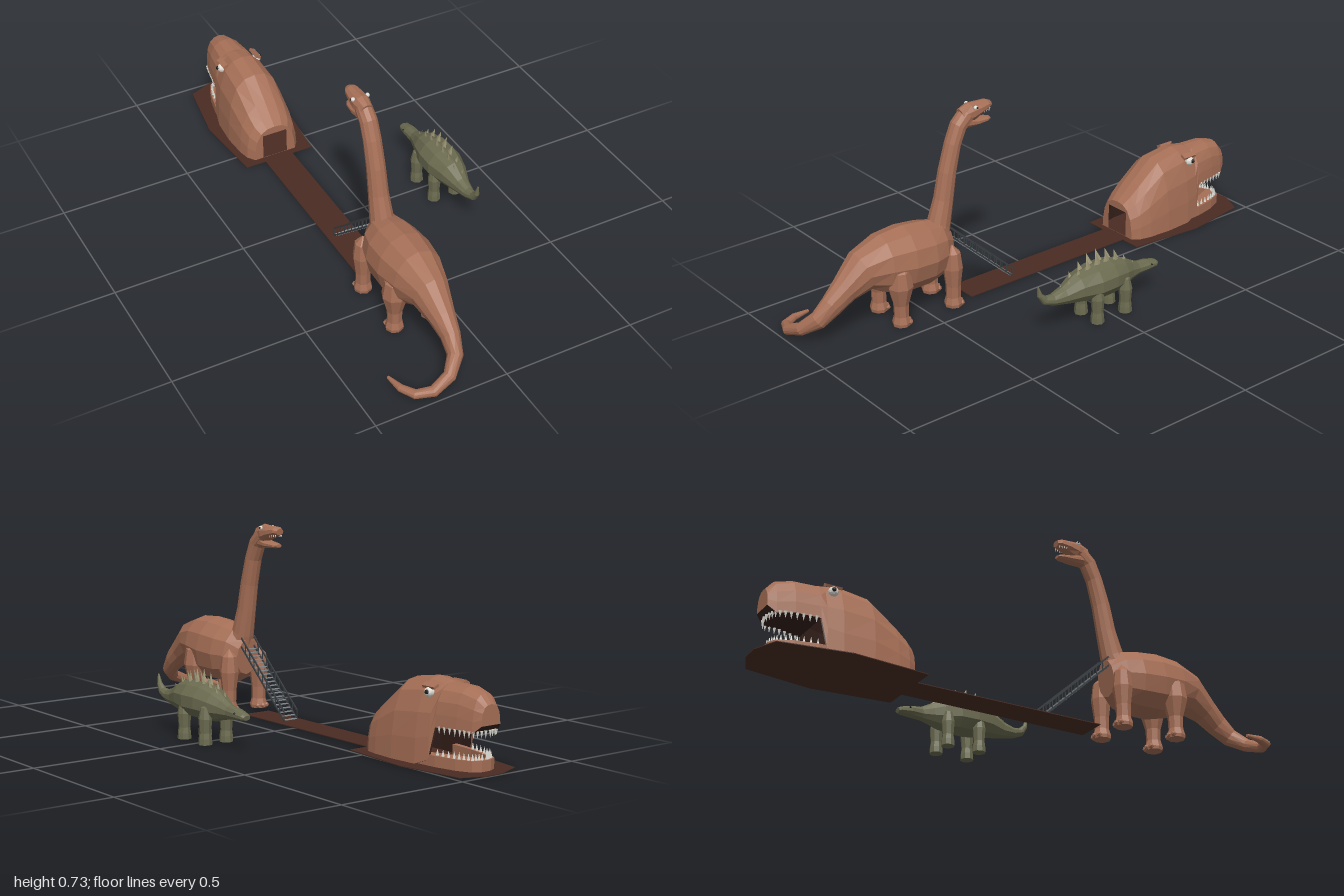
import * as THREE from 'three';

const mat = (name, color, side = THREE.FrontSide) => {
  const m = new THREE.MeshStandardMaterial({ color, side });
  m.name = name;
  return m;
};
const clay = mat('clay brown', 0xa66f56, THREE.DoubleSide);
const earth = mat('dark earth', 0x4a2c23, THREE.DoubleSide);
const mouthDark = mat('mouth dark', 0x36211c, THREE.DoubleSide);
const olive = mat('olive hide', 0x6b6b50);
const sand = mat('sand plates', 0xa8a07e);
const ivory = mat('ivory', 0xdedcd4);
const black = mat('black', 0x1c1c1c);
const steel = mat('dark steel', 0x3c4043);
const grey = mat('tread grey', 0x838b90);

// Faceted mesh with one normal per face
function add(parent, name, geo, material, pos = [0, 0, 0]) {
  const g = geo.index ? geo.toNonIndexed() : geo;
  g.computeVertexNormals();
  const m = new THREE.Mesh(g, material);
  m.name = name;
  m.position.set(...pos);
  parent.add(m);
  return m;
}
function fromFaces(points, index) {
  const g = new THREE.BufferGeometry();
  g.setAttribute('position', new THREE.Float32BufferAttribute(points.flat(), 3));
  g.setIndex(index);
  return g;
}

// Closed body through rings [x, y, z, half width, half height], running towards -z
function loft(rings, n = 12) {
  const c = rings.map(r => new THREE.Vector3(r[0], r[1], r[2]));
  const pts = [], idx = [], up = new THREE.Vector3(0, 1, 0);
  rings.forEach((r, i) => {
    const t = c[Math.min(i + 1, c.length - 1)].clone().sub(c[Math.max(i - 1, 0)]).normalize();
    const s = t.clone().cross(up).normalize(), u = s.clone().cross(t);
    for (let j = 0; j < n; j++) {
      const a = j / n * Math.PI * 2 + Math.PI / 2;
      pts.push(c[i].clone().addScaledVector(s, r[3] * Math.cos(a)).addScaledVector(u, r[4] * Math.sin(a)).toArray());
    }
  });
  const last = (rings.length - 1) * n, p = pts.length;
  for (let j = 0; j < n; j++) {
    const k = (j + 1) % n;
    for (let o = 0; o < last; o += n) idx.push(o + j, o + n + j, o + n + k, o + j, o + n + k, o + k);
    idx.push(p, j, k, p + 1, last + k, last + j);
  }
  pts.push(c[0].toArray(), c[c.length - 1].toArray());
  return fromFaces(pts, idx);
}

// Open arches [z, half width, base y, top y]
const ARCH = [[1, 0], [0.97, 0.3], [0.88, 0.6], [0.66, 0.85], [0.36, 0.97], [0, 1]];
function arches(list, shrink = 0) {
  const half = ARCH.slice(0, -1).map(([x, y]) => [-x, y]).reverse();
  const prof = [...ARCH, ...half], n = prof.length, pts = [], idx = [];
  list.forEach(([z, w, y0, y1], i) => {
    prof.forEach(([x, y]) => pts.push([x * (w - shrink), y0 + y * (y1 - y0 - shrink), z]));
    if (i) for (let j = 0; j < n - 1; j++) {
      const a = (i - 1) * n + j, b = i * n + j;
      idx.push(a, b, b + 1, a, b + 1, a + 1);
    }
  });
  return fromFaces(pts, idx);
}
const lathe = (profile, n) => new THREE.LatheGeometry(profile.map(p => new THREE.Vector2(...p)), n);
const shapeOf = pts => new THREE.Shape(pts.map(p => new THREE.Vector2(...p)));
const flatExtrude = (shape, depth) =>
  new THREE.ExtrudeGeometry(shape, { depth, bevelEnabled: false }).rotateX(-Math.PI / 2);
const cone = (r, h, n) => new THREE.ConeGeometry(r, h, n);

function longNeck() {
  const g = new THREE.Group();
  g.name = 'longNeckedDinosaur';
  g.position.x = -0.152;
  add(g, 'bodyAndTail', loft([
    [-0.211, 0.016, 0.835, 0.006, 0.006], [-0.2, 0.018, 0.9, 0.014, 0.013], [-0.172, 0.02, 0.95, 0.018, 0.016],
    [-0.118, 0.03, 0.975, 0.02, 0.02], [-0.05, 0.057, 0.962, 0.023, 0.024], [-0.005, 0.095, 0.92, 0.028, 0.034],
    [0.005, 0.138, 0.87, 0.034, 0.044], [0.003, 0.18, 0.815, 0.046, 0.053], [0, 0.23, 0.74, 0.068, 0.08],
    [0, 0.234, 0.66, 0.095, 0.11], [0, 0.226, 0.57, 0.108, 0.125], [0, 0.221, 0.48, 0.104, 0.12],
    [0, 0.22, 0.42, 0.085, 0.108], [0, 0.215, 0.375, 0.05, 0.07]]), clay);
  add(g, 'neck', loft([
    [0, 0.23, 0.45, 0.065, 0.075], [0, 0.31, 0.403, 0.042, 0.045], [0, 0.4, 0.38, 0.036, 0.037],
    [0, 0.5, 0.361, 0.034, 0.034], [0, 0.6, 0.334, 0.033, 0.03], [0, 0.66, 0.308, 0.032, 0.032],
    [0, 0.695, 0.27, 0.03, 0.034]]), clay);
  add(g, 'upperHead', loft([
    [0, 0.69, 0.295, 0.024, 0.032], [0, 0.7, 0.255, 0.033, 0.036], [0, 0.707, 0.22, 0.031, 0.025],
    [0, 0.712, 0.185, 0.025, 0.018], [0, 0.71, 0.17, 0.017, 0.012]], 10), clay);
  add(g, 'lowerJaw', loft([
    [0, 0.668, 0.285, 0.026, 0.025], [0, 0.66, 0.235, 0.027, 0.015], [0, 0.658, 0.19, 0.022, 0.01],
    [0, 0.658, 0.174, 0.013, 0.006]], 10), clay);
  for (const s of [1, -1]) {
    add(g, 'eye', new THREE.IcosahedronGeometry(0.008, 1), ivory, [s * 0.028, 0.721, 0.25]);
    add(g, 'pupil', new THREE.IcosahedronGeometry(0.004, 1), black, [s * 0.034, 0.722, 0.248]);
    for (let i = 0; i < 4; i++)
      add(g, 'tooth', cone(0.003, 0.011, 4).rotateX(Math.PI), ivory, [s * (0.02 - i * 0.002), 0.693, 0.205 - i * 0.009]);
    for (const [z, thigh] of [[0.625, 0.047], [0.398, 0.037]]) {
      add(g, 'leg', lathe([[0, 0.008], [0.032, 0.008], [0.034, 0.02], [0.027, 0.045], [0.028, 0.09],
        [thigh, 0.16], [thigh * 0.8, 0.22], [0, 0.25]], 8), clay, [s * 0.07, 0, z]);
      for (const d of [-1, 0, 1])
        add(g, 'toe', new THREE.IcosahedronGeometry(0.011, 0), clay, [s * 0.07 + d * 0.019, 0.018, z - 0.031 + Math.abs(d) * 0.007]);
    }
  }
  return g;
}

function stairs() {
  const g = new THREE.Group(), N = 20;
  g.name = 'stairs';
  g.position.x = -0.15;
  const dy = 0.245, dz = 0.27, len = Math.hypot(dy, dz);
  const bar = (name, x, y) => {
    const m = add(g, name, new THREE.BoxGeometry(0.004, 0.006, len), steel, [x, y + dy / 2, 0.1 + dz / 2]);
    m.rotation.x = -Math.atan2(dy, dz);
  };
  for (const s of [1, -1]) {
    bar('stringer', s * 0.03, 0.012);
    bar('handrail', s * 0.03, 0.046);
    for (let i = 0; i < N; i += 2)
      add(g, 'post', new THREE.BoxGeometry(0.003, 0.036, 0.003), steel, [s * 0.03, 0.03 + dy * i / N, 0.1 + dz * i / N]);
  }
  for (let i = 0; i < N; i++)
    add(g, 'tread', new THREE.BoxGeometry(0.056, 0.003, 0.011), grey, [0, 0.014 + dy * i / N, 0.102 + dz * i / N]);
  return g;
}

function headHouse() {
  const g = new THREE.Group();
  g.name = 'headHouse';
  g.position.x = -0.152;
  const skin = [[-0.445, 0.085, 0.008, 0.14], [-0.475, 0.106, 0.008, 0.165], [-0.52, 0.115, 0.008, 0.205],
    [-0.61, 0.12, 0.008, 0.28], [-0.72, 0.112, 0.008, 0.298], [-0.775, 0.1, 0.03, 0.29],
    [-0.795, 0.088, 0.14, 0.285], [-0.88, 0.073, 0.145, 0.284], [-0.94, 0.058, 0.138, 0.268], [-0.968, 0.042, 0.165, 0.235]];
  add(g, 'headShell', arches(skin), clay);
  add(g, 'innerLining', arches(skin.slice(0, -1), 0.008), mouthDark);
  // Nose cap and mouth roof
  const [, w, y0, y1] = skin[skin.length - 1];
  const arch = (hw, a, b) => [...ARCH, ...ARCH.slice(0, -1).map(([x, y]) => [-x, y]).reverse()]
    .map(([x, y]) => [x * hw, a + y * (b - a)]);
  add(g, 'noseCap', new THREE.ShapeGeometry(shapeOf(arch(w, y0, y1))).rotateY(Math.PI), clay, [0, 0, -0.968]);
  const roof = skin.slice(-4).map(([z, hw, b]) => [[hw, b, z], [-hw, b, z]]).flat();
  add(g, 'mouthRoof', fromFaces(roof, [0, 1, 3, 0, 3, 2, 2, 3, 5, 2, 5, 4, 4, 5, 7, 4, 7, 6]), mouthDark);
  // Rear wall with doorway
  const wall = shapeOf(arch(0.085, 0.008, 0.14));
  wall.holes.push(new THREE.Path([[-0.05, 0.009], [-0.05, 0.11], [0.05, 0.11], [0.05, 0.009]].map(p => new THREE.Vector2(...p))));
  add(g, 'doorWall', new THREE.ShapeGeometry(wall), clay, [0, 0, -0.445]);
  // Lower jaw
  const outer = [[0.1, 0.7], [0.092, 0.8], [0.075, 0.88], [0.05, 0.935], [0.02, 0.95]];
  const inner = [[0.01, 0.93], [0.038, 0.915], [0.058, 0.87], [0.072, 0.8], [0.08, 0.7]];
  const flip = a => a.map(([x, y]) => [-x, y]).reverse();
  add(g, 'lowerJaw', flatExtrude(shapeOf([...outer, ...flip(outer), ...flip(inner), ...inner.slice().reverse()]), 0.038), clay, [0, 0.008, 0]);
  // Teeth along both jaws
  const path = list => new THREE.CatmullRomCurve3(list.map(([x, z]) => new THREE.Vector3(x, 0, -z)));
  const low = path([[0.08, 0.8], [0.066, 0.875], [0.044, 0.925], [0.01, 0.94]]);
  const high = path([[0.083, 0.81], [0.07, 0.88], [0.055, 0.938], [0.01, 0.955]]);
  for (const s of [1, -1]) {
    for (let i = 0; i < 11; i++) {
      const a = low.getPoint(i / 10), b = high.getPoint(i / 10);
      add(g, 'lowerTooth', cone(0.006, 0.026, 5), ivory, [s * a.x, 0.057, a.z]);
      add(g, 'upperTooth', cone(0.006, 0.026, 5).rotateX(Math.PI), ivory, [s * b.x, 0.133, b.z]);
    }
    add(g, 'eye', new THREE.SphereGeometry(0.018, 10, 8), ivory, [s * 0.074, 0.252, -0.75]);
    add(g, 'pupil', new THREE.SphereGeometry(0.008, 8, 6), black, [s * 0.089, 0.254, -0.754]);
    const brow = add(g, 'brow', new THREE.BoxGeometry(0.022, 0.01, 0.06), clay, [s * 0.07, 0.273, -0.75]);
    brow.rotation.z = -s * 0.5;
  }
  return g;
}

function platedDinosaur() {
  const g = new THREE.Group();
  g.name = 'platedDinosaur';
  g.position.x = 0.297;
  add(g, 'body', loft([
    [0, 0.205, 0.312, 0.003, 0.003], [0, 0.17, 0.305, 0.01, 0.01], [0, 0.145, 0.285, 0.016, 0.016],
    [0, 0.135, 0.25, 0.022, 0.021], [0, 0.136, 0.2, 0.032, 0.034], [0, 0.148, 0.14, 0.053, 0.056],
    [0, 0.149, 0.07, 0.07, 0.067], [0, 0.149, 0, 0.068, 0.067], [0, 0.142, -0.06, 0.053, 0.058],
    [0, 0.137, -0.1, 0.036, 0.041], [0, 0.132, -0.14, 0.025, 0.026], [0, 0.131, -0.185, 0.026, 0.021],
    [0, 0.127, -0.225, 0.021, 0.014], [0, 0.125, -0.235, 0.015, 0.009]], 10), olive);
  for (const s of [1, -1]) {
    for (const z of [0.08, -0.05])
      add(g, 'leg', lathe([[0, 0.008], [0.025, 0.008], [0.024, 0.03], [0.021, 0.05], [0.025, 0.1], [0.016, 0.14], [0, 0.15]], 8),
        olive, [s * 0.045, 0, z]);
    add(g, 'eye', new THREE.IcosahedronGeometry(0.004, 0), black, [s * 0.024, 0.138, -0.195]);
  }
  // Two staggered rows of back plates
  for (let i = 0; i < 16; i++) {
    const s = i % 2 ? 1 : -1, z = 0.2 - i * 0.021, k = ((z - 0.04) / 0.17) ** 2;
    const h = 0.024 + 0.034 * Math.max(0, 1 - k);
    const top = Math.max(0.152, 0.213 - 2.4 * (z - 0.04) ** 2);
    const p = add(g, 'backPlate', cone(h * 0.3, h, 4).scale(0.3, 1, 1).translate(0, h / 2 - 0.008, 0), sand, [s * 0.009, top, z]);
    p.rotation.z = -s * 0.12;
    p.rotation.x = 0.2;
  }
  return g;
}

export function createModel() {
  const model = new THREE.Group();
  model.name = 'dinosaurPark';
  // Ground plate and path
  const side = [[0.165, 0.71], [0.125, 0.96], [0.035, 0.998]];
  const plate = shapeOf([[0.138, 0.42], ...side, ...side.map(([x, y]) => [-x, y]).reverse(), [-0.138, 0.42]]);
  add(model, 'groundPlate', flatExtrude(plate, 0.003), earth, [-0.147, 0.005, 0]);
  add(model, 'path', new THREE.BoxGeometry(0.115, 0.003, 0.73), earth, [-0.148, 0.0065, -0.055]);
  model.add(longNeck(), stairs(), headHouse(), platedDinosaur());
  return model;
}
